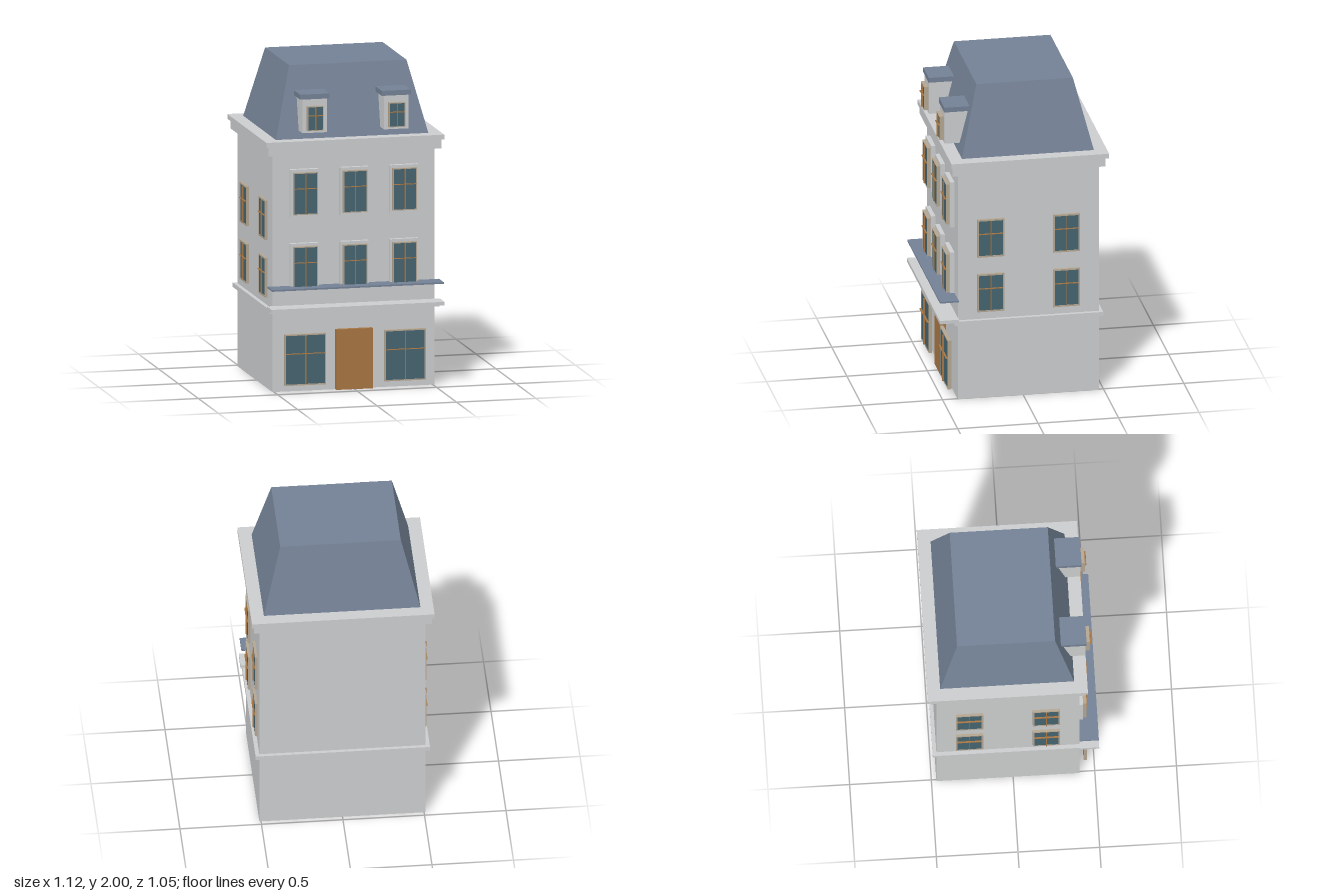
import * as THREE from 'three';

const mat = (name, color) => new THREE.MeshStandardMaterial({ name, color });

export function createModel() {
  const stone = mat('stone', 0xcbcccd);
  const slate = mat('slate', 0x738195);
  const glass = mat('glass', 0x456470);
  const wood = mat('wood', 0xa87642);
  const frame = mat('window frame', 0xb3a591);

  const house = new THREE.Group();
  house.name = 'townhouse';

  // Box given by its limits on each axis
  function box(parent, name, material, [x0, x1], [y0, y1], [z0, z1]) {
    const mesh = new THREE.Mesh(new THREE.BoxGeometry(x1 - x0, y1 - y0, z1 - z0), material);
    mesh.position.set((x0 + x1) / 2, (y0 + y1) / 2, (z0 + z1) / 2);
    mesh.name = name;
    parent.add(mesh);
    return mesh;
  }

  // Window facing +z, centred on its own origin: rim, pane and thin glazing fins
  function makeWindow(name, w, h, depth, rim, fin) {
    const g = new THREE.Group();
    g.name = name;
    const x = w / 2, y = h / 2;
    const z = [0, depth + 0.002];
    box(g, 'pane', glass, [-x + rim, x - rim], [-y + rim, y - rim], [0, depth]);
    for (const s of [-1, 1]) {
      const a = s * x, b = s * (x - rim), c = s * y, d = s * (y - rim);
      box(g, 'frameSide', frame, [Math.min(a, b), Math.max(a, b)], [-y, y], z);
      box(g, 'frameRail', frame, [-x + rim, x - rim], [Math.min(c, d), Math.max(c, d)], z);
    }
    const f = [depth, depth + fin], t = 0.002;
    box(g, 'mullion', wood, [-t, t], [-y + rim, y - rim], f);
    box(g, 'glazingBar', wood, [-x + rim, x - rim], [h * 0.12 - t, h * 0.12 + t], f);
    house.add(g);
    return g;
  }

  // Walls and mouldings
  box(house, 'walls', stone, [-0.51, 0.51], [0, 1.5], [-0.47, 0.407]);
  box(house, 'stringCourse', stone, [-0.535, 0.535], [0.49, 0.517], [-0.493, 0.432]);
  box(house, 'shopLedge', stone, [-0.545, 0.545], [0.512, 0.534], [0.405, 0.525]);
  box(house, 'balconySlab', slate, [-0.54, 0.54], [0.646, 0.656], [0.405, 0.523]);
  box(house, 'lowerCornice', stone, [-0.545, 0.545], [1.473, 1.53], [-0.505, 0.445]);
  box(house, 'upperCornice', stone, [-0.56, 0.56], [1.53, 1.56], [-0.525, 0.455]);

  // Mansard roof: a box drawn in at the top
  const roofGeo = new THREE.BoxGeometry(0.96, 0.44, 0.82);
  const p = roofGeo.attributes.position;
  for (let i = 0; i < p.count; i++) {
    if (p.getY(i) > 0) {
      p.setX(i, Math.sign(p.getX(i)) * 0.37);
      p.setZ(i, Math.sign(p.getZ(i)) * 0.3);
    }
  }
  roofGeo.computeVertexNormals();
  const roof = new THREE.Mesh(roofGeo, slate);
  roof.name = 'mansardRoof';
  roof.position.set(0, 1.78, -0.035);
  house.add(roof);

  // Door and shop windows
  box(house, 'door', wood, [-0.115, 0.115], [0, 0.375], [0.405, 0.435]);
  for (const s of [-1, 1]) {
    makeWindow('shopWindow', 0.26, 0.318, 0.02, 0.008, 0.012).position.set(s * 0.314, 0.202, 0.435);
  }

  // Front windows with stone surrounds on two floors
  for (const y of [0.773, 1.233]) {
    for (const x of [-0.313, 0, 0.313]) {
      box(house, 'windowSurround', stone, [x - 0.09, x + 0.09], [y - 0.148, y + 0.148], [0.405, 0.435]);
      makeWindow('frontWindow', 0.152, 0.262, 0.02, 0.006, 0.01).position.set(x, y, 0.435);
    }
  }

  // Side windows, two floors on both flanks
  for (const s of [-1, 1]) {
    for (const y of [0.689, 1.046]) {
      for (const z of [0.203, -0.267]) {
        const w = makeWindow('sideWindow', 0.167, 0.246, 0.014, 0.01, 0.01);
        w.position.set(s * 0.51, y, z);
        w.rotation.y = s * Math.PI / 2;
      }
    }
  }

  // Dormers
  for (const s of [-1, 1]) {
    const x = s * 0.257;
    box(house, 'dormerBody', stone, [x - 0.077, x + 0.077], [1.61, 1.822], [0.31, 0.455]);
    box(house, 'dormerCap', slate, [x - 0.092, x + 0.092], [1.82, 1.851], [0.3, 0.46]);
    makeWindow('dormerWindow', 0.102, 0.152, 0.025, 0.005, 0.012).position.set(x, 1.702, 0.455);
  }

  return house;
}
